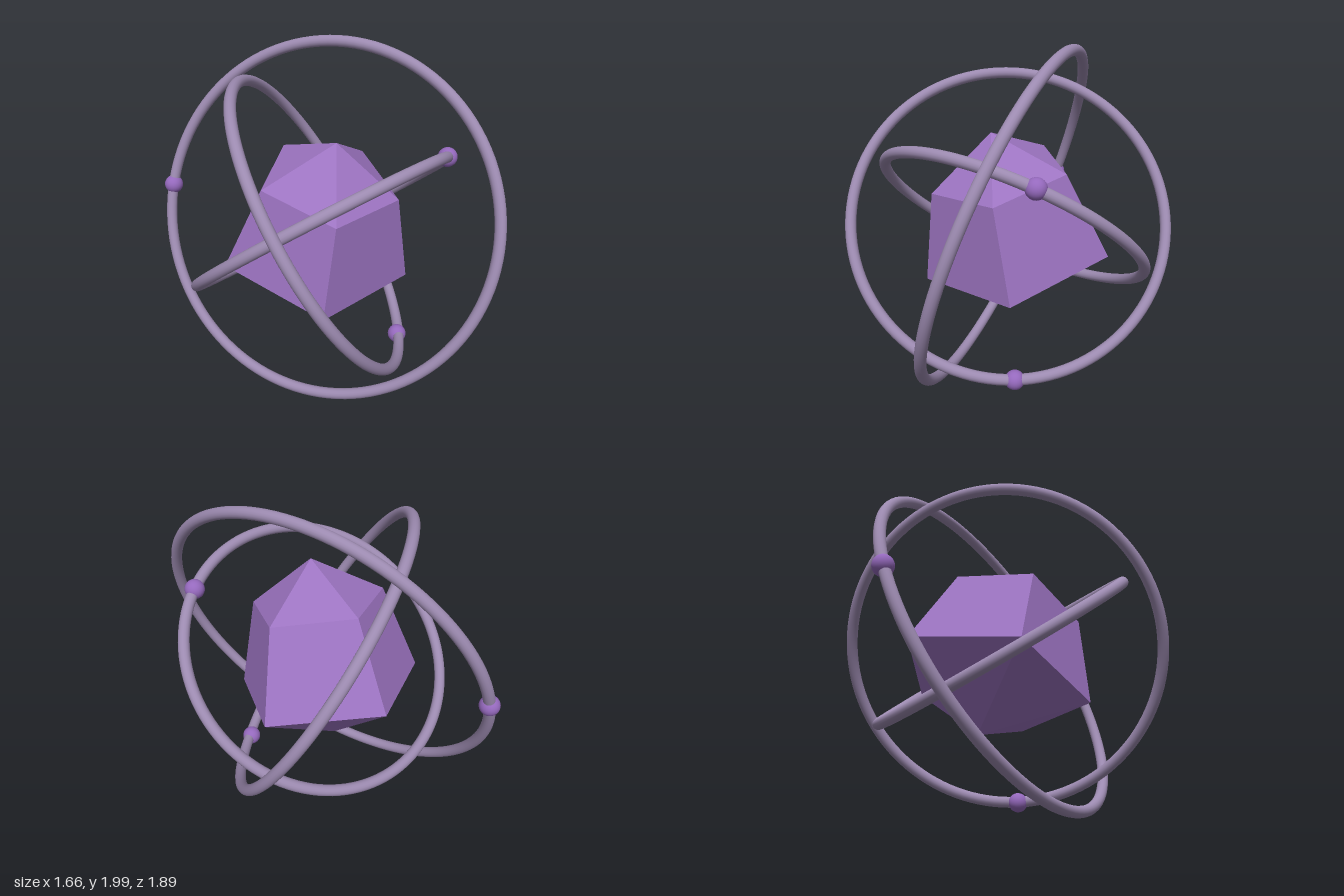
import * as THREE from 'three';

const flat = (name, color) => {
  const m = new THREE.MeshStandardMaterial({ color });
  m.name = name;
  return m;
};

export function createModel() {
  const model = new THREE.Group();
  model.name = 'crystalWithOrbits';

  const gemPurple = flat('gem purple', 0x9d74c2);
  const beadPurple = flat('bead purple', 0x9569bd);
  const ringMauve = flat('ring mauve', 0x9c8ab0);

  // Five-sided faceted crystal: pointed base, wide girdle, narrow shoulder, low crown
  const profile = [[0, -0.553], [0.56, -0.225], [0.4, 0.295], [0, 0.553]]
    .map(([r, y]) => new THREE.Vector2(r, y));
  const facets = new THREE.LatheGeometry(profile, 5, THREE.MathUtils.degToRad(42)).toNonIndexed();
  facets.computeVertexNormals();
  const crystal = new THREE.Mesh(facets, gemPurple);
  crystal.name = 'crystal';
  crystal.position.set(-0.015, 0.995, 0);
  crystal.rotation.x = 0.266;
  model.add(crystal);

  // Tilted orbit rings, each carrying one small bead
  const orbits = [
    { name: 'outerOrbit', radius: 1.022, center: [-0.02, 1.003, 0.008],
      normal: [-0.818, 0.336, 0.466], bead: [-0.495, 0.04, -0.9] },
    { name: 'middleOrbit', radius: 0.914, center: [-0.008, 1.005, 0.01],
      normal: [0.672, 0.519, 0.529], bead: [0.365, -0.793, 0.295] },
    { name: 'innerOrbit', radius: 0.804, center: [0, 0.988, 0],
      normal: [-0.11, 0.776, -0.622], bead: [0.59, 0.392, 0.382] },
  ];
  const zAxis = new THREE.Vector3(0, 0, 1);
  for (const { name, radius, center, normal, bead } of orbits) {
    const orbit = new THREE.Group();
    orbit.name = name;
    orbit.position.set(...center);

    const ring = new THREE.Mesh(new THREE.TorusGeometry(radius, 0.032, 16, 120), ringMauve);
    ring.name = name + 'Ring';
    ring.quaternion.setFromUnitVectors(zAxis, new THREE.Vector3(...normal).normalize());

    const ball = new THREE.Mesh(new THREE.SphereGeometry(0.056, 24, 16), beadPurple);
    ball.name = name + 'Bead';
    ball.position.set(...bead).setLength(radius);

    orbit.add(ring, ball);
    model.add(orbit);
  }
  return model;
}
